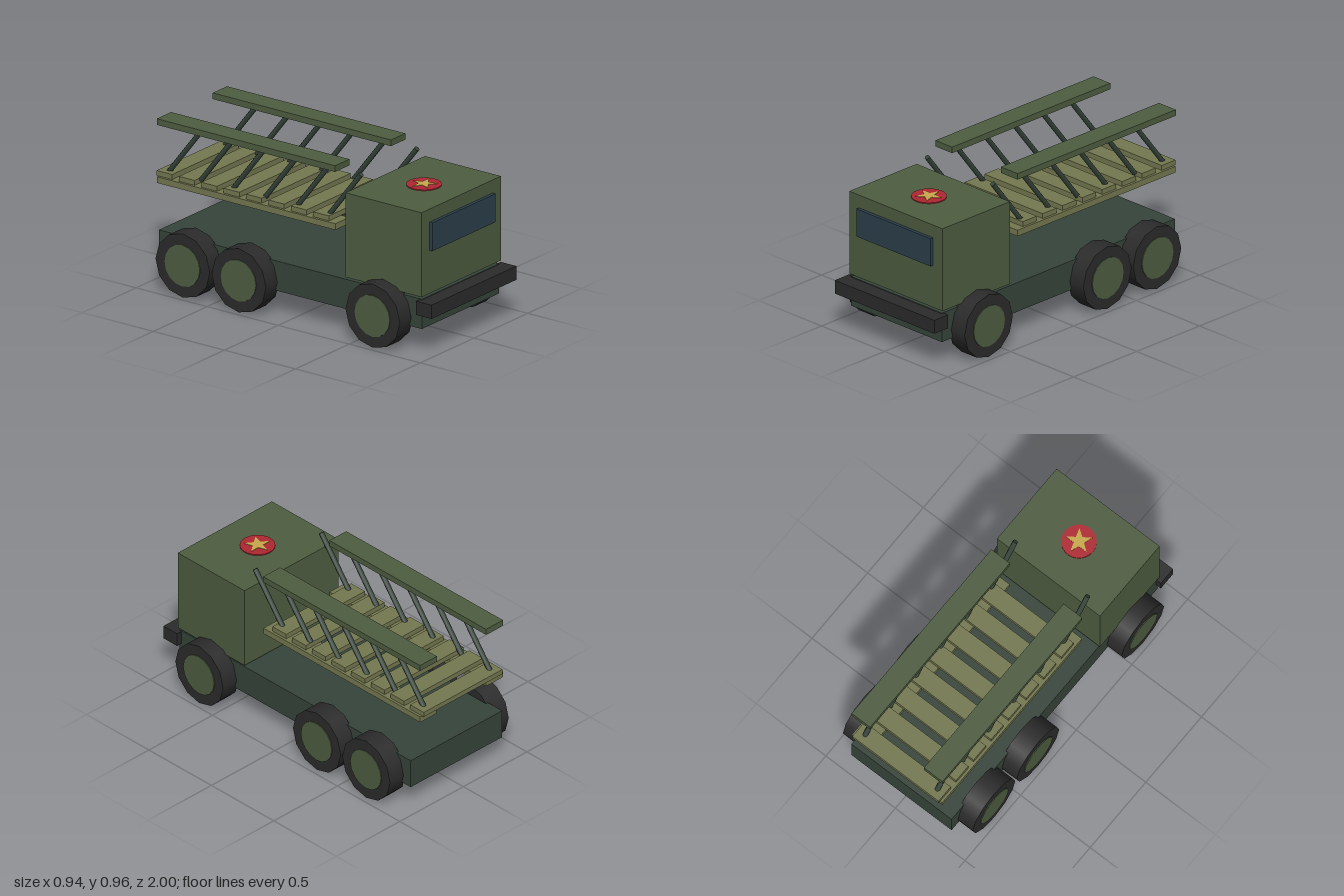
import * as THREE from 'three';

const paint = (name, color) => {
  const m = new THREE.MeshStandardMaterial({ color });
  m.name = name;
  return m;
};

export function createModel() {
  const truck = new THREE.Group();
  truck.name = 'truck';

  const green = paint('olive green', 0x4e5d40);
  const darkGreen = paint('dark green', 0x36443a);
  const black = paint('rubber black', 0x2b2b2b);
  const glass = paint('dark blue glass', 0x2c3f4b);
  const khaki = paint('khaki', 0x747850);
  const red = paint('badge red', 0xaf2733);
  const gold = paint('badge gold', 0xc8a84a);

  const add = (name, geometry, material, x = 0, y = 0, z = 0) => {
    const mesh = new THREE.Mesh(geometry, material);
    mesh.name = name;
    mesh.position.set(x, y, z);
    truck.add(mesh);
    return mesh;
  };
  // Box given by its lower/upper limits in y and z
  const box = (name, material, x, width, y0, y1, z0, z1) =>
    add(name, new THREE.BoxGeometry(width, y1 - y0, z1 - z0), material, x, (y0 + y1) / 2, (z0 + z1) / 2);

  // Body
  box('chassis', darkGreen, 0, 0.72, 0.14, 0.318, -0.945, 0.905);
  box('cab', green, 0, 0.74, 0.335, 0.84, 0.375, 0.91);
  box('windshield', glass, 0, 0.586, 0.592, 0.762, 0.905, 0.93);
  box('bumper', black, 0, 0.79, 0.232, 0.314, 0.89, 1.0);

  // Wheels: a tyre with a slightly proud hub
  const tyre = new THREE.CylinderGeometry(0.191, 0.191, 0.123, 12).rotateZ(Math.PI / 2);
  const hub = new THREE.CylinderGeometry(0.124, 0.124, 0.133, 16).rotateZ(Math.PI / 2);
  for (const side of [-1, 1]) {
    for (const z of [0.64, -0.302, -0.697]) {
      add('tyre', tyre, black, side * 0.405, 0.191, z);
      add('hub', hub, green, side * 0.405, 0.191, z);
    }
  }

  // Launch rack: lower rails, upper boards and slanted struts on each side
  const strut = new THREE.CylinderGeometry(0.0155, 0.0155, 0.36, 8).rotateX(0.66);
  for (const side of [-1, 1]) {
    box('lowerRail', khaki, side * 0.26, 0.13, 0.58, 0.617, -0.985, 0.27);
    box('upperBoard', green, side * 0.26, 0.133, 0.928, 0.965, -0.985, 0.27);
    for (let i = 0; i < 6; i++) {
      add('strut', strut, darkGreen, side * 0.26, 0.781, 0.292 - i * 0.226);
    }
  }
  // Cross slats
  for (let i = 0; i < 8; i++) {
    const z = 0.158 - i * 0.1575;
    box('slat', khaki, 0, 0.62, 0.617, 0.647, z - 0.055, z + 0.055);
  }

  // Roof badge: a thin disc with a five-pointed star
  add('badgeDisc', new THREE.CylinderGeometry(0.1, 0.1, 0.006, 24), red, 0, 0.843, 0.648);
  const points = [];
  for (let i = 0; i < 10; i++) {
    const r = i % 2 ? 0.031 : 0.078;
    const a = Math.PI / 2 + (i * Math.PI) / 5;
    points.push(new THREE.Vector2(r * Math.cos(a), r * Math.sin(a)));
  }
  const star = new THREE.ExtrudeGeometry(new THREE.Shape(points), { depth: 0.004, bevelEnabled: false });
  add('badgeStar', star.rotateX(-Math.PI / 2), gold, 0, 0.845, 0.648);

  return truck;
}
